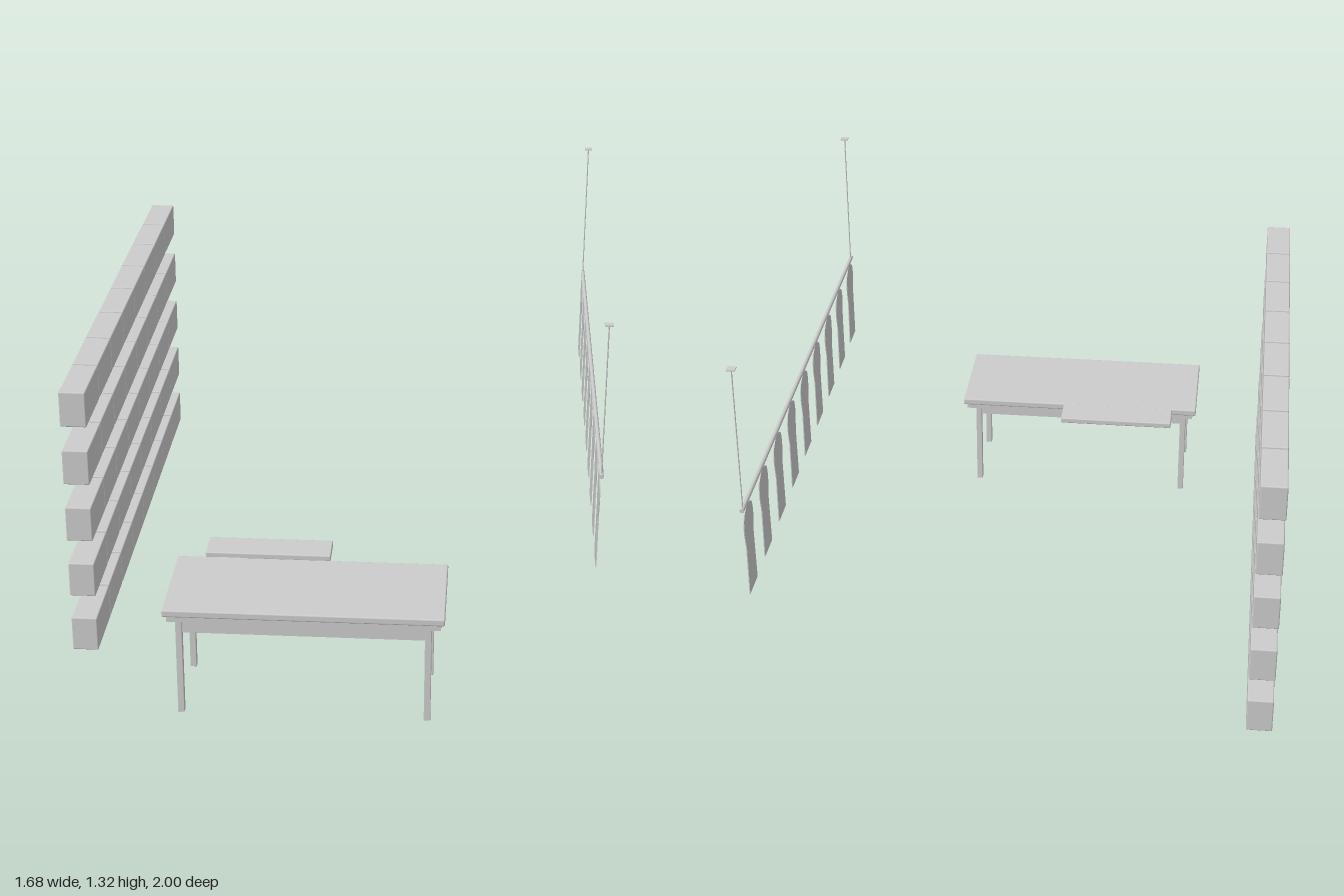
import * as THREE from 'three';
import { RoundedBoxGeometry } from 'three/addons/geometries/RoundedBoxGeometry.js';

const mat = new THREE.MeshStandardMaterial({ color: 0xcccccc });

function add(parent, name, geometry, x = 0, y = 0, z = 0) {
  const mesh = new THREE.Mesh(geometry, mat);
  mesh.name = name;
  mesh.position.set(x, y, z);
  parent.add(mesh);
  return mesh;
}

// Box given by its extents, optionally with softened edges
function box(parent, name, [x0, x1], [y0, y1], [z0, z1], r = 0) {
  const s = [x1 - x0, y1 - y0, z1 - z0];
  const geo = r ? new RoundedBoxGeometry(...s, 2, r) : new THREE.BoxGeometry(...s);
  return add(parent, name, geo, (x0 + x1) / 2, (y0 + y1) / 2, (z0 + z1) / 2);
}

function group(parent, name) {
  const g = new THREE.Group();
  g.name = name;
  parent.add(g);
  return g;
}

// Five spaced rows of eight blocks
function buildWall(root) {
  const wall = group(root, 'blockWall');
  for (let row = 0; row < 5; row++) {
    const y = 0.144 + row * 0.1965;
    for (let i = 0; i < 8; i++) {
      const z = -1 + i * 0.2328;
      box(wall, 'wallBlock', [-0.842, -0.759], [y, y + 0.116], [z, z + 0.225], 0.004);
    }
  }
}

function buildTable(root) {
  const table = group(root, 'table');
  box(table, 'tableTop', [-0.526, 0.359], [0.353, 0.377], [0.625, 0.997], 0.005);
  box(table, 'topMoulding', [-0.513, 0.347], [0.333, 0.354], [0.637, 0.988]);

  // Hollow apron
  const ay = [0.287, 0.334];
  for (const z of [0.679, 0.958]) box(table, 'longApron', [-0.484, 0.315], ay, [z, z + 0.012]);
  for (const x of [-0.482, 0.301]) box(table, 'shortApron', [x, x + 0.012], ay, [0.679, 0.97]);

  for (const x of [-0.487, 0.297])
    for (const z of [0.672, 0.955])
      box(table, 'leg', [x, x + 0.021], [0, 0.334], [z, z + 0.021], 0.002);

  // Small shelf fixed behind the top
  box(table, 'sideShelf', [-0.437, -0.026], [0.366, 0.386], [0.5, 0.613], 0.004);
  box(table, 'shelfBracket', [-0.405, -0.322], [0.36, 0.37], [0.6, 0.632]);
}

// Flat hanging garment with rounded shoulders and a narrow waist
function garmentGeometry() {
  const s = new THREE.Shape();
  s.moveTo(-0.051, 0.516);
  s.lineTo(0.051, 0.516);
  s.lineTo(0.047, 0.69);
  s.lineTo(0.059, 0.745);
  s.quadraticCurveTo(0.061, 0.79, 0.046, 0.803);
  s.lineTo(0.022, 0.818);
  s.quadraticCurveTo(0, 0.821, -0.022, 0.818);
  s.lineTo(-0.046, 0.803);
  s.quadraticCurveTo(-0.061, 0.79, -0.059, 0.745);
  s.lineTo(-0.047, 0.69);
  s.closePath();
  const geo = new THREE.ExtrudeGeometry(s, { depth: 0.003, bevelEnabled: false, curveSegments: 6 });
  return geo.rotateY(Math.PI / 2);
}

function buildRail(root) {
  const rail = group(root, 'hangingRail');
  const X = 0.823;
  add(rail, 'rod', new THREE.CylinderGeometry(0.007, 0.007, 1.845, 12).rotateX(Math.PI / 2), X, 0.829, -0.037);
  for (const z of [0.872, -0.946]) {
    add(rail, 'suspensionWire', new THREE.CylinderGeometry(0.002, 0.002, 0.49, 8), X, 1.075, z);
    box(rail, 'ceilingPlate', [X - 0.013, X + 0.013], [1.318, 1.322], [z - 0.013, z + 0.013]);
  }

  const body = garmentGeometry();
  const stud = new THREE.CylinderGeometry(0.0025, 0.0025, 0.002, 8).rotateZ(Math.PI / 2);
  for (let i = 0; i < 9 - 0; i++) {
    const garment = group(rail, 'garment');
    garment.position.z = 0.825 - i * 0.2156;
    add(garment, 'garmentBody', body, X - 0.004);
    box(garment, 'hangerTab', [X - 0.004, X], [0.814, 0.83], [-0.008, 0.008]);
    // Studs on the decorated face
    for (let k = 0; k < 5; k++)
      for (const side of [-1, 1])
        add(garment, 'stud', stud, X, 0.56 + k * 0.047, side * (0.026 + 0.008 * (k % 2)));
    // Open-front seam on some garments
    if (i === 4 || i === 5) box(garment, 'frontSeam', [X - 0.002, X + 0.0005], [0.518, 0.72], [-0.0015, 0.0015]);
  }
}

export function createModel() {
  const root = new THREE.Group();
  root.name = 'workshopDisplay';
  buildWall(root);
  buildTable(root);
  buildRail(root);
  return root;
}
